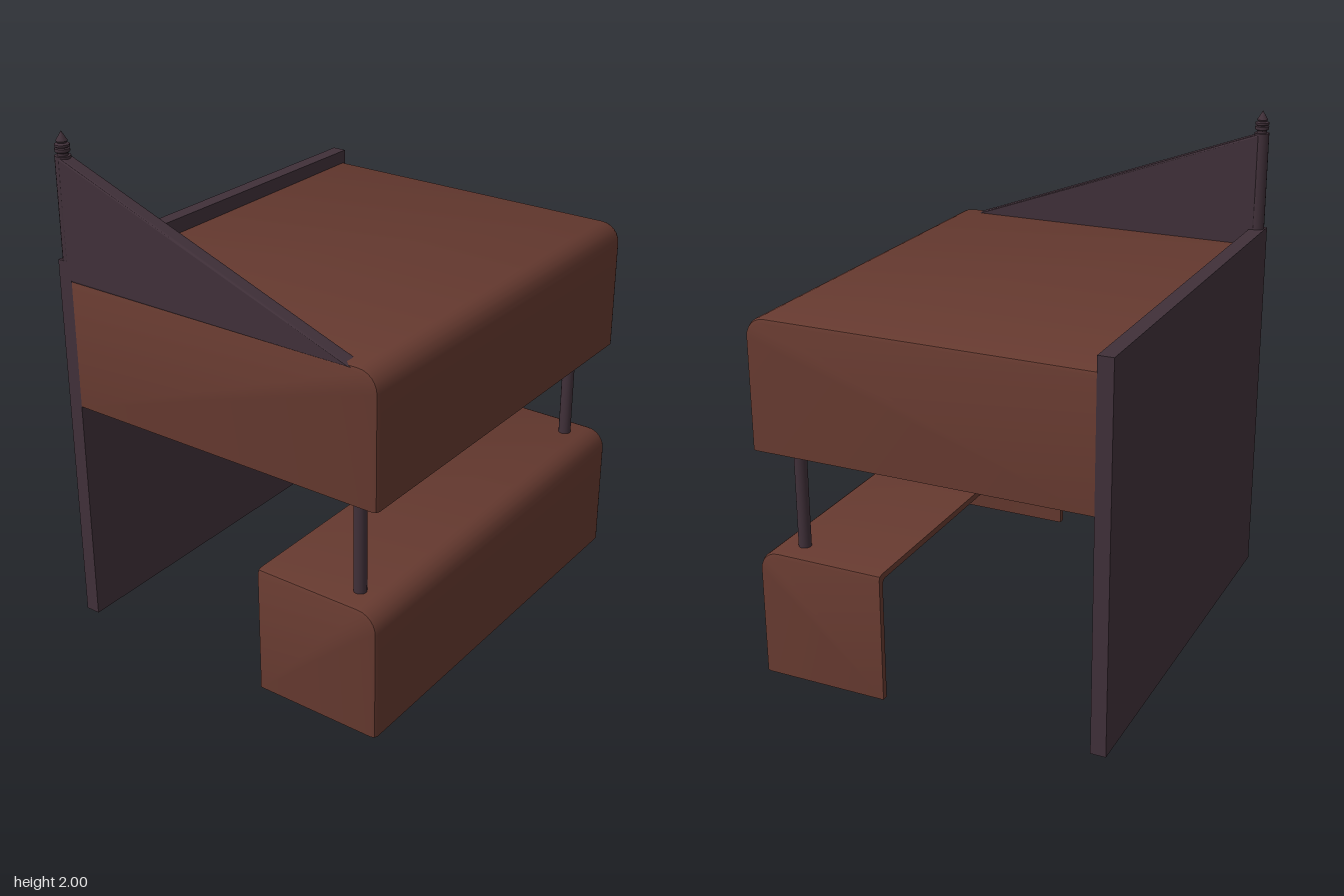
import * as THREE from 'three';
import { toCreasedNormals } from 'three/addons/utils/BufferGeometryUtils.js';

const W = 0.85; // half width of the stall

// Hollow hood, open below and behind: rounded front-top edge and softened side edges.
function hoodGeometry(y0, y1, back, front) {
  const radius = 0.08, bevel = 0.018, wall = 0.025;
  const ring = (x, inset) => {
    const r = radius - inset, pts = [[x, y1 - inset, back]];
    for (let i = 0; i <= 6; i++) {
      const a = (i / 6) * Math.PI / 2;
      pts.push([x, y1 - radius + r * Math.cos(a), front - radius + r * Math.sin(a)]);
    }
    pts.push([x, y0, front - inset]);
    return pts;
  };
  // rings from -x to +x; the first and last collapse to a corner and so close the sides
  const skin = (w, inset) => {
    const half = [[w, bevel], [w - bevel * 0.3, bevel * 0.3], [w - bevel, 0]];
    const corner = (x) => ring(x, 0).map(() => [x, y0, back]);
    return [
      corner(-w),
      ...half.map(([x, d]) => ring(-x, inset + d)),
      ...half.slice().reverse().map(([x, d]) => ring(x, inset + d)),
      corner(w),
    ];
  };
  const outer = skin(W, 0), inner = skin(W - wall, wall), pos = [];
  const tri = (a, b, c) => {
    const [p, q, r] = [a, b, c].map((v) => new THREE.Vector3(...v));
    if (q.sub(p).cross(r.sub(p)).length() > 1e-9) pos.push(...a, ...b, ...c);
  };
  const quad = (a, b, c, d) => { tri(a, b, c); tri(a, c, d); };
  const last = outer[0].length - 1;
  for (let j = 0; j < outer.length - 1; j++) {
    const o = outer[j], p = outer[j + 1], i = inner[j], k = inner[j + 1];
    for (let n = 0; n < last; n++) {
      quad(o[n], o[n + 1], p[n + 1], p[n]);
      quad(i[n], k[n], k[n + 1], i[n + 1]);
    }
    quad(o[last], i[last], k[last], p[last]); // bottom rim
    quad(o[0], p[0], k[0], i[0]);             // back rim
  }
  const g = new THREE.BufferGeometry();
  g.setAttribute('position', new THREE.Float32BufferAttribute(pos, 3));
  return toCreasedNormals(g, 0.6);
}

export function createModel() {
  const wood = new THREE.MeshStandardMaterial({ color: 0x65392f });
  wood.name = 'red brown wood';
  wood.side = THREE.DoubleSide;
  const dark = new THREE.MeshStandardMaterial({ color: 0x403039 });
  dark.name = 'dark plum wood';

  const model = new THREE.Group();
  model.name = 'marketStall';
  const add = (name, geometry, material, x = 0, y = 0, z = 0) => {
    const mesh = new THREE.Mesh(geometry, material);
    mesh.name = name;
    mesh.position.set(x, y, z);
    model.add(mesh);
    return mesh;
  };

  // counter and canopy
  add('counter', hoodGeometry(0, 0.52, 0.19, 0.71), wood);
  add('canopy', hoodGeometry(0.93, 1.45, -0.65, 0.71), wood);

  // back wall, its top falling very slightly towards the left side
  const wallShape = new THREE.Shape([[-W, 0], [W, 0], [W, 1.505], [-W, 1.515]]
    .map(([x, y]) => new THREE.Vector2(x, y)));
  add('backWall', new THREE.ExtrudeGeometry(wallShape, { depth: 0.06, bevelEnabled: false }), dark, 0, 0, -0.71);

  // posts between counter and canopy
  for (const side of [-1, 1]) {
    add(side < 0 ? 'rightPost' : 'leftPost',
      new THREE.CylinderGeometry(0.025, 0.025, 0.95, 16), dark, side * 0.745, 0.965, 0.57);
  }

  // triangular fin on the roof, drawn in (-z, y) and turned to run front to back
  const finShape = new THREE.Shape([[-0.6, 1.44], [0.67, 1.44], [0.67, 1.905]]
    .map(([x, y]) => new THREE.Vector2(x, y)));
  const fin = new THREE.ExtrudeGeometry(finShape, {
    depth: 0.04, bevelThickness: 0.01, bevelSize: 0.01, bevelOffset: -0.005, bevelSegments: 2,
  });
  fin.rotateY(Math.PI / 2);
  add('roofFin', fin, dark, -0.84);

  // pole behind the fin with a turned, pointed finial
  add('finPole', new THREE.CylinderGeometry(0.03, 0.03, 0.5, 16), dark, -0.82, 1.66, -0.675);
  const profile = [[0, 1.905], [0.02, 1.905], [0.02, 1.92], [0.028, 1.925], [0.028, 1.937],
    [0.022, 1.94], [0.028, 1.944], [0.028, 1.952], [0.018, 1.957], [0.022, 1.964], [0, 2]]
    .map(([x, y]) => new THREE.Vector2(x, y));
  add('finial', toCreasedNormals(new THREE.LatheGeometry(profile, 16), 0.6), dark, -0.82, 0, -0.675);

  return model;
}
